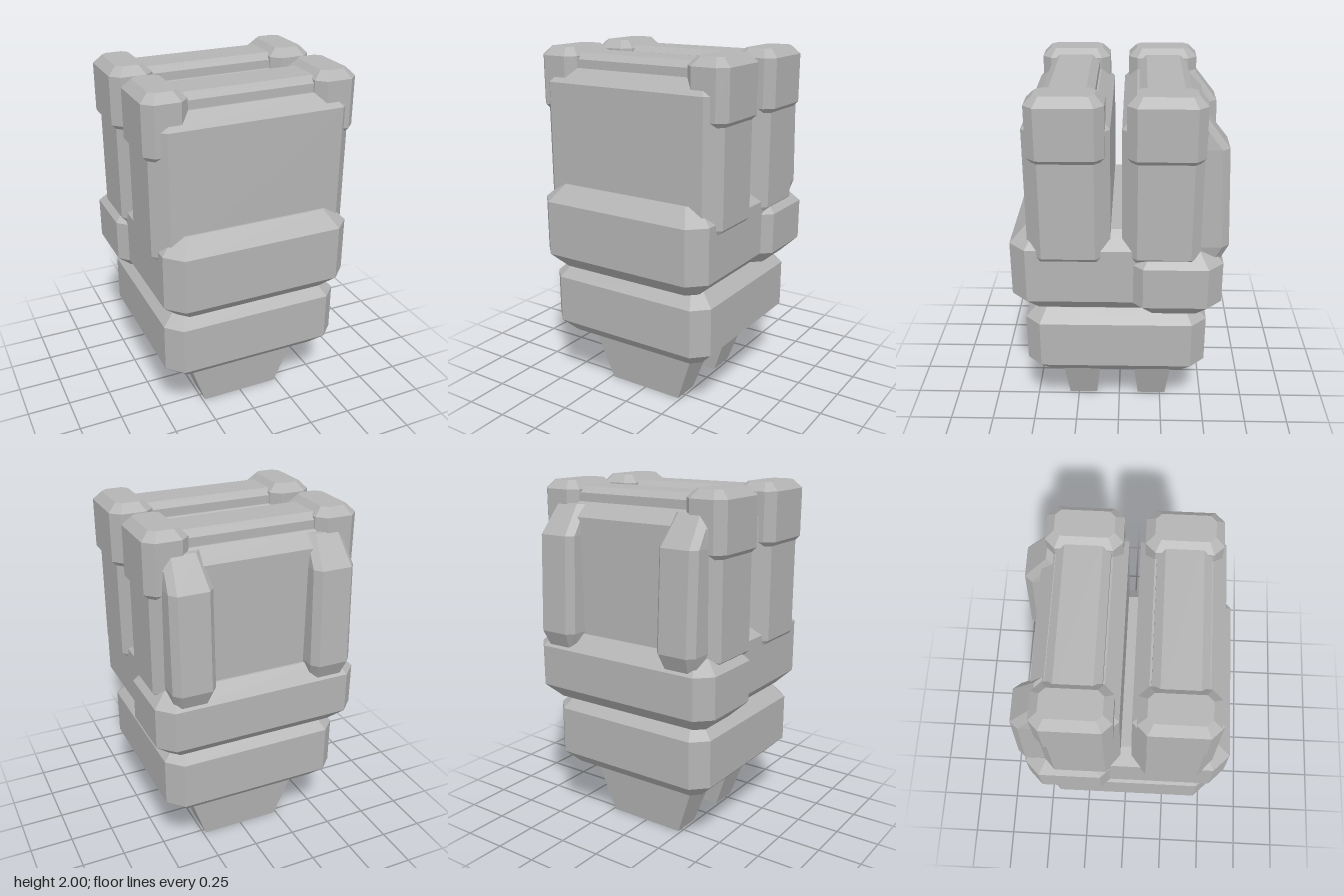
import * as THREE from 'three';

const grey = new THREE.MeshStandardMaterial({ color: 0xb4b4b4 });
grey.name = 'grey';

// Skin a stack of convex loops ([x, y, z] points, counter-clockwise from above), bottom to top, with flat caps.
function loft(loops) {
  const pos = [];
  const tri = (a, b, c) => pos.push(...a, ...b, ...c);
  const n = loops[0].length;
  for (let l = 0; l < loops.length - 1; l++) {
    const lo = loops[l], up = loops[l + 1];
    for (let i = 0; i < n; i++) {
      const j = (i + 1) % n;
      tri(lo[i], lo[j], up[j]);
      tri(lo[i], up[j], up[i]);
    }
  }
  const bottom = loops[0], top = loops[loops.length - 1];
  for (let i = 1; i < n - 1; i++) {
    tri(top[0], top[i], top[i + 1]);
    tri(bottom[0], bottom[i + 1], bottom[i]);
  }
  const g = new THREE.BufferGeometry();
  g.setAttribute('position', new THREE.Float32BufferAttribute(pos, 3));
  g.computeVertexNormals();
  return g;
}

// Octagonal loop: a rectangle with cut corners.
function cutRect(x0, x1, z0, z1, y, c) {
  return [
    [x0 + c, y, z1], [x1 - c, y, z1], [x1, y, z1 - c], [x1, y, z0 + c],
    [x1 - c, y, z0], [x0 + c, y, z0], [x0, y, z0 + c], [x0, y, z1 - c],
  ];
}

// Box with cut vertical corners and bevelled top and bottom rims.
function bevelBox([x0, x1], [y0, y1], [z0, z1], corner, top, bottom) {
  const rim = (y, b) => cutRect(x0 + b, x1 - b, z0 + b, z1 - b, y, corner * 0.6);
  return loft([
    rim(y0, bottom),
    cutRect(x0, x1, z0, z1, y0 + bottom, corner),
    cutRect(x0, x1, z0, z1, y1 - top, corner),
    rim(y1, top),
  ]);
}

export function createModel() {
  const model = new THREE.Group();
  model.name = 'armouredBlock';

  const add = (name, geometry, parent = model) => {
    const mesh = new THREE.Mesh(geometry, grey);
    mesh.name = name;
    parent.add(mesh);
    return mesh;
  };

  // Tapered pegs underneath
  const rect = (hx, hz, y) => [[-hx, y, hz], [hx, y, hz], [hx, y, -hz], [-hx, y, -hz]];
  [['frontPeg', 0.222], ['backPeg', -0.198]].forEach(([name, z]) => {
    add(name, loft([rect(0.235, 0.083, 0), rect(0.357, 0.118, 0.345)])).position.z = z;
  });

  // Stacked body blocks
  add('lowerBlock', bevelBox([-0.527, 0.527], [0.333, 0.76], [-0.49, 0.52], 0.083, 0.07, 0.083));
  add('middleBlock', bevelBox([-0.543, 0.543], [0.76, 1.25], [-0.3, 0.585], 0.09, 0.09, 0.09));
  add('middleBackBlock', bevelBox([-0.595, 0.595], [0.76, 1.165], [-0.56, -0.05], 0.083, 0.085, 0.087));

  // Two upright packs, each with a slab, a top bar and a cap at either end
  [['frontPack', 0.262], ['backPack', -0.242]].forEach(([name, z]) => {
    const pack = new THREE.Group();
    pack.name = name;
    pack.position.z = z;
    model.add(pack);
    add('packSlab', bevelBox([-0.57, 0.57], [1.1, 1.89], [-0.222, 0.222], 0.08, 0.075, 0.025), pack);

    const barLoop = (x) => [
      [x, 1.85, 0.137], [x, 1.85, -0.137], [x, 1.937, -0.137],
      [x, 1.97, -0.096], [x, 1.97, 0.096], [x, 1.937, 0.137],
    ];
    add('topBar', loft([barLoop(-0.45), barLoop(0.45)]), pack);

    [[0.353, 0.595, 'leftCap'], [-0.595, -0.353, 'rightCap']].forEach(([x0, x1, capName]) => {
      add(capName, bevelBox([x0, x1], [1.66, 2], [-0.197, 0.197], 0.05, 0.046, 0.025), pack);
    });
  });

  // Fins on the back: y, back z, half width, half width of the back face
  const finLevels = [
    [1.09, -0.545, 0.1, 0.07],
    [1.18, -0.585, 0.12, 0.085],
    [1.72, -0.56, 0.118, 0.085],
    [1.88, -0.435, 0.1, 0.066],
  ];
  const finLoops = finLevels.map(([y, back, h, b]) => [
    [-h, y, -0.35], [h, y, -0.35], [h, y, back + 0.04],
    [b, y, back], [-b, y, back], [-h, y, back + 0.04],
  ]);
  [['leftFin', 0.4], ['rightFin', -0.4]].forEach(([name, x]) => {
    add(name, loft(finLoops)).position.x = x;
  });

  return model;
}
